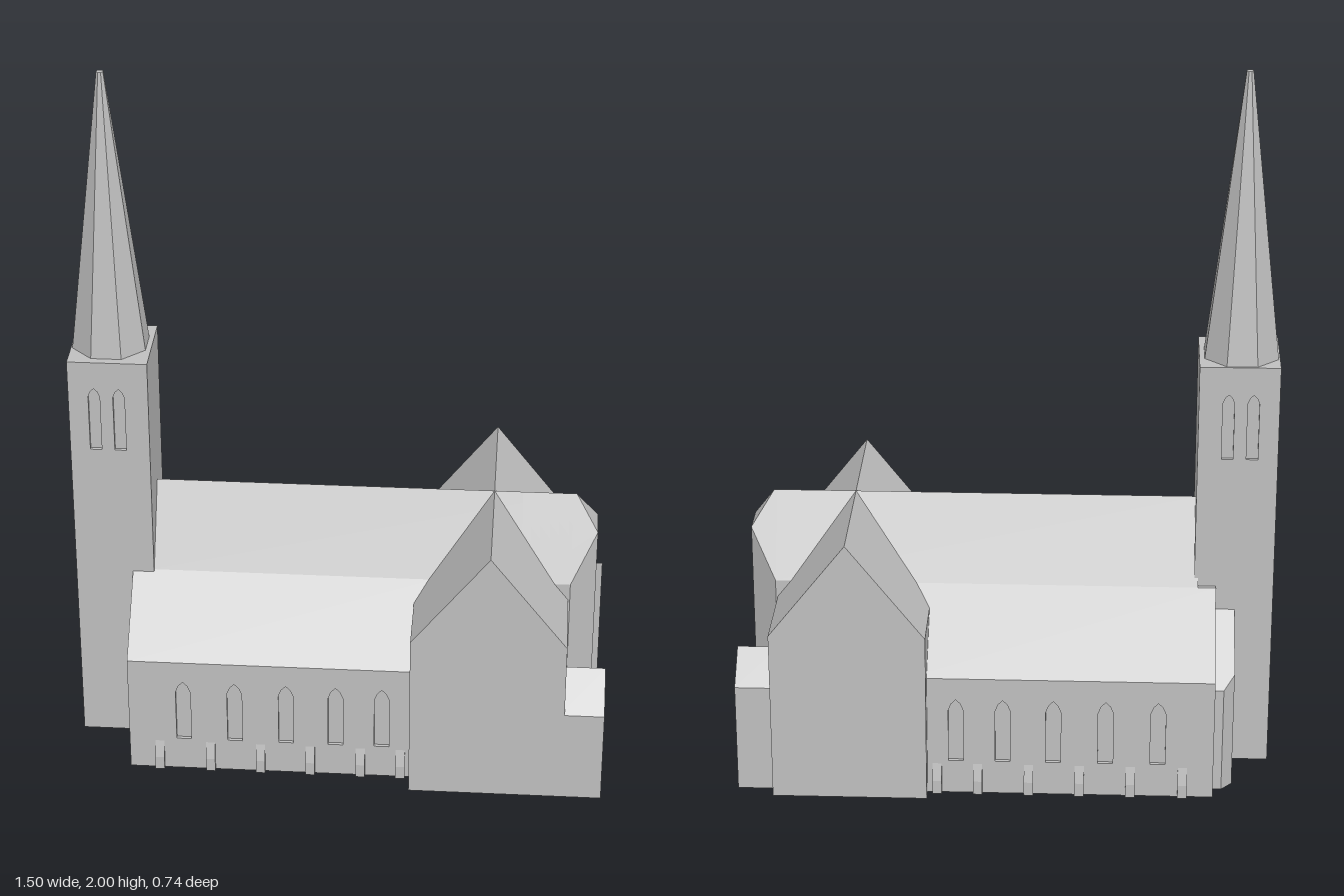
import * as THREE from 'three';
import { ConvexGeometry } from 'three/addons/geometries/ConvexGeometry.js';

const stone = new THREE.MeshStandardMaterial({ color: 0xc0c0c0, flatShading: true });
stone.name = 'stone';

const WALL = 0.01; // depth of the outer wall skins and window recesses

function part(parent, name, geometry) {
  const mesh = new THREE.Mesh(geometry, stone);
  mesh.name = name;
  parent.add(mesh);
  return mesh;
}

function box(x0, x1, y0, y1, z0, z1) {
  return new THREE.BoxGeometry(x1 - x0, y1 - y0, z1 - z0)
    .translate((x0 + x1) / 2, (y0 + y1) / 2, (z0 + z1) / 2);
}

// Prism of a [z, y] profile running along x
function alongX(profile, x0, x1) {
  const shape = new THREE.Shape(profile.map(([z, y]) => new THREE.Vector2(-z, y)));
  return new THREE.ExtrudeGeometry(shape, { depth: x1 - x0, bevelEnabled: false })
    .rotateY(Math.PI / 2).translate(x0, 0, 0);
}

// Prism of an [x, y] profile running along z
function alongZ(profile, z0, z1) {
  const shape = new THREE.Shape(profile.map(([x, y]) => new THREE.Vector2(x, y)));
  return new THREE.ExtrudeGeometry(shape, { depth: z1 - z0, bevelEnabled: false })
    .translate(0, 0, z0);
}

// Solid over a convex floor plan of [x, z] with the roof height given by a function
function solid(plan, roofY, extra = []) {
  const points = extra.map((p) => new THREE.Vector3(...p));
  for (const [x, z] of plan) {
    points.push(new THREE.Vector3(x, 0, z), new THREE.Vector3(x, roofY(z), z));
  }
  return new ConvexGeometry(points);
}

// Wall skin from u0 to u1 with pointed openings [centre, bottom, top, width]
function skin(u0, u1, height, openings) {
  const shape = new THREE.Shape([[u0, 0], [u1, 0], [u1, height], [u0, height]]
    .map(([u, v]) => new THREE.Vector2(u, v)));
  for (const [c, bottom, top, w] of openings) {
    const r = w / 2;
    shape.holes.push(new THREE.Path([
      [c - r, bottom], [c - r, top - w * 0.8], [c - r * 0.6, top - w * 0.3], [c, top],
      [c + r * 0.6, top - w * 0.3], [c + r, top - w * 0.8], [c + r, bottom],
    ].map(([u, v]) => new THREE.Vector2(u, v))));
  }
  return new THREE.ExtrudeGeometry(shape, { depth: WALL, bevelEnabled: false });
}

function buildTower() {
  const tower = new THREE.Group();
  tower.name = 'tower';
  const [x0, x1, z0, z1, h] = [-0.75, -0.53, -0.107, 0.125, 1.2];
  part(tower, 'towerCore', box(x0 + WALL, x1, 0, h, z0 + WALL, z1 - WALL));

  const pair = (c, bottom, top) => [-0.034, 0.034].map((d) => [c + d, bottom, top, 0.032]);
  part(tower, 'towerFrontWall', skin(x0, x1, h, pair(-0.645, 0.93, 1.12)))
    .position.z = z1 - WALL;
  const back = part(tower, 'towerBackWall', skin(-x1, -x0, h, pair(0.645, 0.93, 1.12)));
  back.rotation.y = Math.PI;
  back.position.z = z0 + WALL;
  const west = part(tower, 'towerDoorWall', skin(z0 + WALL, z1 - WALL, h, [
    ...pair(0.009, 0.93, 1.12), ...pair(0.009, 0.63, 0.81), [0.009, 0.01, 0.14, 0.055],
  ]));
  west.rotation.y = -Math.PI / 2;
  west.position.x = x0 + WALL;

  // Eight-sided spire with flat sides facing the axes
  part(tower, 'spire', new THREE.CylinderGeometry(0.01, 0.109, 0.8, 8)
    .rotateY(Math.PI / 8).translate(-0.645, 1.6, 0));
  return tower;
}

function buildNave() {
  const nave = new THREE.Group();
  nave.name = 'nave';
  const [front, back, eave] = [0.305, -0.33, 0.355];
  const [x0, x1] = [-0.59, 0.205];

  // Central nave with steep roof, and wider aisles with shallower roofs
  part(nave, 'centralNave', alongX(
    [[-0.12, 0], [0.12, 0], [0.12, 0.545], [0, 0.77], [-0.12, 0.545]], -0.54, 0.64));
  part(nave, 'aisles', alongX([
    [back + WALL, 0], [front - WALL, 0], [front - WALL, eave - WALL], [front, eave - WALL],
    [front, eave], [0.12, 0.545], [-0.12, 0.545],
    [back, eave], [back, eave - WALL], [back + WALL, eave - WALL],
  ], x0, x1 + 0.05));

  // Side walls with recessed windows
  const windows = [-0.435, -0.29, -0.145, -0.005, 0.125];
  part(nave, 'frontAisleWall', skin(x0, x1, eave - WALL,
    windows.map((x) => [x, 0.1, 0.29, 0.042]))).position.z = front - WALL;
  const backWall = part(nave, 'backAisleWall', skin(-x1, -x0, eave - WALL,
    windows.map((x) => [-x, 0.1, 0.29, 0.042])));
  backWall.rotation.y = Math.PI;
  backWall.position.z = back + WALL;

  // Small sloped buttresses between the windows
  for (const x of [-0.505, -0.36, -0.218, -0.077, 0.065, 0.178]) {
    for (const [z, s] of [[front, 1], [back, -1]]) {
      part(nave, 'buttress', alongX(
        [[z, 0], [z + s * 0.011, 0], [z + s * 0.011, 0.04], [z, 0.09]], x - 0.013, x + 0.013));
    }
  }
  return nave;
}

export function createModel() {
  const church = new THREE.Group();
  church.name = 'church';
  church.add(buildTower(), buildNave());

  // Cross wing with gables front and back
  part(church, 'transept', alongZ(
    [[0.205, 0], [0.635, 0], [0.635, 0.495], [0.42, 0.77], [0.205, 0.495]], -0.37, 0.37));

  // Chancel end with cut corners and a hipped roof end
  part(church, 'apse', solid(
    [[0.5, 0.12], [0.64, 0.12], [0.712, 0.05], [0.712, -0.05], [0.64, -0.12], [0.5, -0.12]],
    (z) => 0.77 - 1.875 * Math.abs(z), [[0.5, 0.77, 0], [0.65, 0.77, 0]]));

  // Lean-to annexes beside the transept, roofs falling outwards
  part(church, 'frontAnnex', alongX(
    [[0.27, 0], [0.37, 0], [0.37, 0.275], [0.27, 0.37]], 0.62, 0.745));
  part(church, 'backAnnex', alongX(
    [[-0.24, 0], [-0.33, 0], [-0.33, 0.315], [-0.24, 0.398]], 0.62, 0.737));

  // Stair lean-to between tower and back aisle
  part(church, 'stairLeanTo', solid(
    [[-0.58, -0.285], [-0.615, -0.285], [-0.645, -0.25], [-0.645, -0.1], [-0.58, -0.1]],
    (z) => 0.31 + (z + 0.285) * 0.92));
  return church;
}
